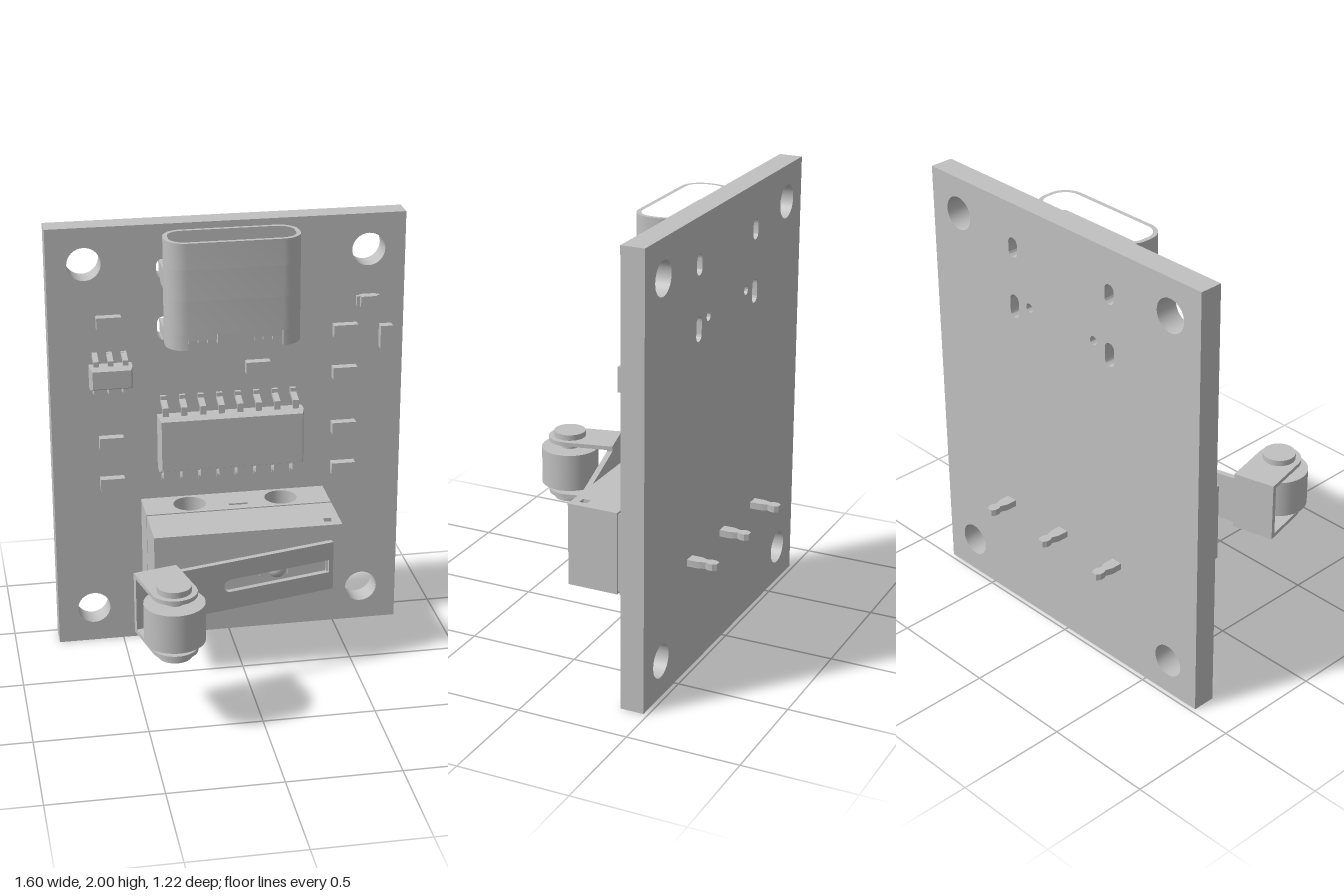
import * as THREE from 'three';
import { toCreasedNormals } from 'three/addons/utils/BufferGeometryUtils.js';

export function createModel() {
  const model = new THREE.Group();
  const grey = new THREE.MeshStandardMaterial({ color: 0xc0c0c0 });
  grey.name = 'plain grey';

  const add = (name, geo, parent = model) => {
    const mesh = new THREE.Mesh(geo, grey);
    mesh.name = name;
    parent.add(mesh);
    return mesh;
  };
  const box = (name, x0, x1, y0, y1, z0, z1, parent) => {
    const g = new THREE.BoxGeometry(x1 - x0, y1 - y0, z1 - z0);
    g.translate((x0 + x1) / 2, (y0 + y1) / 2, (z0 + z1) / 2);
    return add(name, g, parent);
  };
  const disc = (name, r, x, z, y0, y1, parent) => {
    const g = new THREE.CylinderGeometry(r, r, y1 - y0, 40);
    g.translate(x, (y0 + y1) / 2, z);
    return add(name, g, parent);
  };
  const extrude = (shape, depth) => toCreasedNormals(
    new THREE.ExtrudeGeometry(shape, { depth, bevelEnabled: false, curveSegments: 16 }), 0.5);
  // Extrudes a shape drawn in (x, -z) upwards from y0 to y1
  const slab = (name, shape, y0, y1, parent) =>
    add(name, extrude(shape, y1 - y0).rotateX(-Math.PI / 2).translate(0, y0, 0), parent);
  const poly = pts => new THREE.Shape(pts.map(p => new THREE.Vector2(p[0], p[1])));
  const circle = (x, y, r) => new THREE.Path().absarc(x, y, r, 0, Math.PI * 2);
  const rect = (x0, x1, y0, y1) => poly([[x0, y0], [x1, y0], [x1, y1], [x0, y1]]);
  const upright = (x, y, r, half) => {
    const p = new THREE.Path();
    p.absarc(x, y + half, r, 0, Math.PI);
    p.absarc(x, y - half, r, Math.PI, Math.PI * 2);
    p.closePath();
    return p;
  };

  // Circuit board with mounting holes and connector slots
  const FACE = -0.375;
  const board = rect(-0.8, 0.8, 0, 2);
  for (const s of [-1, 1]) {
    board.holes.push(circle(s * 0.634, 1.835, 0.075), circle(s * 0.634, 0.167, 0.075));
    board.holes.push(upright(s * 0.29, 1.797, 0.027, 0.018), upright(s * 0.29, 1.522, 0.027, 0.027));
    board.holes.push(circle(s * 0.195, 1.55, 0.02));
  }
  add('circuitBoard', extrude(board, 0.105).translate(0, 0, -0.48));

  // Port connector: hollow rounded shell built in sections
  const port = new THREE.Group();
  port.name = 'portConnector';
  model.add(port);
  const ZC = -0.271;
  const ring = inset => { // closed outline in (x, -z), starting at the back centre
    const w = 0.3 - inset, h = 0.105 - inset, r = 0.09 - inset, pts = [[0, h]];
    for (const [sx, sy, a] of [[1, 1, 90], [1, -1, 0], [-1, -1, -90], [-1, 1, -180]])
      for (let i = 0; i <= 8; i++) {
        const t = (a - i * 11.25) * Math.PI / 180;
        pts.push([sx * (w - r) + r * Math.cos(t), sy * (h - r) + r * Math.sin(t)]);
      }
    return pts.map(p => [p[0], p[1] - ZC]);
  };
  const wall = keep => poly([...ring(0).filter(keep), ...ring(0.02).filter(keep).reverse()]);
  const fullWall = poly(ring(0));
  fullWall.holes.push(poly(ring(0.02)));
  slab('shell', fullWall, 1.85, 1.97, port);
  slab('shell', fullWall, 1.555, 1.71, port);
  slab('shellSlotted', wall(p => p[1] < 0.29), 1.71, 1.85, port);
  slab('shellFoot', wall(p => p[0] > 0.2), 1.485, 1.555, port);
  slab('shellFoot', wall(p => p[0] < -0.2), 1.485, 1.555, port);
  box('shellBack', -0.215, 0.215, 1.485, 1.86, -0.376, -0.356, port);
  box('shellTongue', -0.08, 0.08, 1.51, 1.556, -0.186, -0.166, port);
  slab('plasticCore', poly(ring(0.03)), 1.52, 1.62, port);
  const tongue = new THREE.Shape();
  tongue.absarc(0.2, -ZC, 0.02, -Math.PI / 2, Math.PI / 2);
  tongue.absarc(-0.2, -ZC, 0.02, Math.PI / 2, Math.PI * 1.5);
  slab('contactTongue', tongue, 1.6, 1.92, port);
  for (const s of [-1, 1]) {
    const a = s > 0 ? 0.282 : -0.3, b = a + 0.018;
    box('shellTab', a, b, 1.735, 1.825, -0.43, -0.27, port);
    box('shellTab', a, b, 1.495, 1.55, -0.43, -0.27, port);
  }
  for (let i = 0; i < 11; i++) {
    const x = (i - 5) * 0.042;
    box('portPin', x - 0.011, x + 0.011, 1.445, 1.53, FACE, -0.35, port);
  }

  // Chips: chamfered body with rows of bent legs
  const chip = (name, x, y, w, h, z0, z1, count, pitch, legW, reach) => {
    const g = new THREE.Group();
    g.name = name;
    g.position.set(x, y, 0);
    model.add(g);
    const geo = new THREE.BoxGeometry(w, h, z1 - z0, 1, 1, 4), p = geo.attributes.position;
    for (let i = 0; i < p.count; i++)
      if (Math.abs(p.getZ(i)) > (z1 - z0) * 0.4) {
        p.setX(i, p.getX(i) - Math.sign(p.getX(i)) * 0.01);
        p.setY(i, p.getY(i) - Math.sign(p.getY(i)) * 0.012);
      }
    add('chipBody', toCreasedNormals(geo, 0.2).translate(0, 0, (z0 + z1) / 2), g);
    const a = h / 2 - 0.01, b = reach, k = a + (b - a) * 0.5, m = (z0 + z1) / 2, t = 0.017;
    const leg = poly([[a, m], [k - 0.005, m], [k + 0.012, FACE], [b, FACE], [b, FACE + t],
      [k + 0.025, FACE + t], [k + 0.008, m + t], [a, m + t]]);
    const axes = new THREE.Matrix4().makeBasis(new THREE.Vector3(0, 1, 0),
      new THREE.Vector3(0, 0, 1), new THREE.Vector3(1, 0, 0));
    const legGeo = extrude(leg, legW).applyMatrix4(axes).translate(-legW / 2, 0, 0);
    for (let i = 0; i < count; i++)
      for (const turn of [0, Math.PI]) {
        const l = add('chipLeg', legGeo, g);
        l.rotation.z = turn;
        l.position.x = (i - (count - 1) / 2) * pitch;
      }
  };
  chip('largeChip', 0, 1.0, 0.66, 0.26, -0.365, -0.26, 8, 0.0845, 0.027, 0.205);
  chip('smallChip', -0.535, 1.333, 0.19, 0.105, -0.365, -0.268, 3, 0.065, 0.024, 0.094);

  // Small surface components
  for (const [x, y, w, h] of [[-0.535, 1.57, 0.11, 0.056], [-0.535, 1, 0.11, 0.056],
    [-0.535, 0.8, 0.11, 0.056], [0.53, 1.47, 0.11, 0.056], [0.53, 1.268, 0.11, 0.056],
    [0.53, 1, 0.11, 0.056], [0.53, 0.8, 0.11, 0.056], [0.132, 1.32, 0.11, 0.056],
    [0.717, 1.43, 0.056, 0.107]])
    box('resistor', x - w / 2, x + w / 2, y - h / 2, y + h / 2, FACE, -0.335);
  box('lampBase', 0.58, 0.683, 1.582, 1.624, FACE, -0.355);
  box('lampLens', 0.595, 0.668, 1.578, 1.628, FACE, -0.333);

  // Micro switch body: two blocks with a seam and two cross holes
  const sw = new THREE.Group();
  sw.name = 'rollerSwitch';
  model.add(sw);
  const back = rect(-0.405, 0.44, 0.19, 0.37);
  back.holes.push(circle(-0.195, 0.28, 0.074), circle(0.225, 0.28, 0.074));
  slab('switchBase', back, 0.325, 0.705, sw);
  const cover = rect(-0.405, 0.44, -0.055, 0.18);
  cover.holes.push(rect(0.367, 0.403, -0.018, 0.018));
  slab('switchCover', cover, 0.325, 0.705, sw);
  box('switchSeam', -0.395, 0.43, 0.335, 0.695, -0.195, -0.175, sw);
  box('switchLatch', -0.022, 0.062, 0.318, 0.712, -0.255, -0.232, sw);
  box('pivotTab', 0.368, 0.402, 0.38, 0.655, -0.017, 0.017, sw);

  // Terminals passing through the board
  for (const x of [-0.322, 0.017, 0.357]) {
    const half = [[0.026, 0.35], [0.026, 0.53], [0.015, 0.56], [0.023, 0.575], [0.023, 0.595], [0.012, 0.612]];
    const pts = [...half, ...half.map(p => [-p[0], p[1]]).reverse()];
    slab('terminal', poly(pts.map(p => [x + p[0], p[1]])), 0.497, 0.527, sw);
  }

  // Plunger
  add('plunger', new THREE.SphereGeometry(0.042, 24, 16).translate(0.143, 0.515, 0.058), sw);
  for (const x of [0.08, 0.207]) box('plungerGuide', x - 0.015, x + 0.015, 0.485, 0.545, 0.05, 0.072, sw);

  // Lever, tilted about its hinge
  const lever = new THREE.Group();
  lever.name = 'lever';
  lever.position.set(0.39, 0, 0.052);
  lever.rotation.y = 0.241;
  sw.add(lever);
  const arm = rect(-0.75, 0, 0.4, 0.63);
  const slot = new THREE.Path();
  slot.moveTo(-0.02, 0.485);
  slot.lineTo(-0.02, 0.545);
  slot.absarc(-0.5, 0.515, 0.03, Math.PI / 2, Math.PI * 1.5);
  slot.closePath();
  arm.holes.push(slot);
  add('leverArm', extrude(arm, 0.025), lever);
  box('leverHinge', -0.025, 0, 0.4, 0.63, -0.05, 0.01, lever);
  box('forkWeb', -0.942, -0.745, 0.376, 0.654, 0, 0.025, lever);

  // Fork ears and roller on its pin
  const RX = -0.846, RZ = 0.226;
  const ear = new THREE.Shape();
  ear.moveTo(-0.745, 0);
  ear.lineTo(-0.942, 0);
  ear.absarc(RX, -RZ, 0.099, Math.PI, Math.PI * 2);
  ear.closePath();
  slab('forkEar', ear, 0.636, 0.655, lever);
  slab('forkEar', ear, 0.375, 0.394, lever);
  disc('roller', 0.132, RX, RZ, 0.426, 0.602, lever);
  disc('rollerPin', 0.044, RX, RZ, 0.36, 0.67, lever);
  disc('pinHead', 0.074, RX, RZ, 0.655, 0.682, lever);
  disc('pinHead', 0.074, RX, RZ, 0.348, 0.375, lever);

  return model;
}
